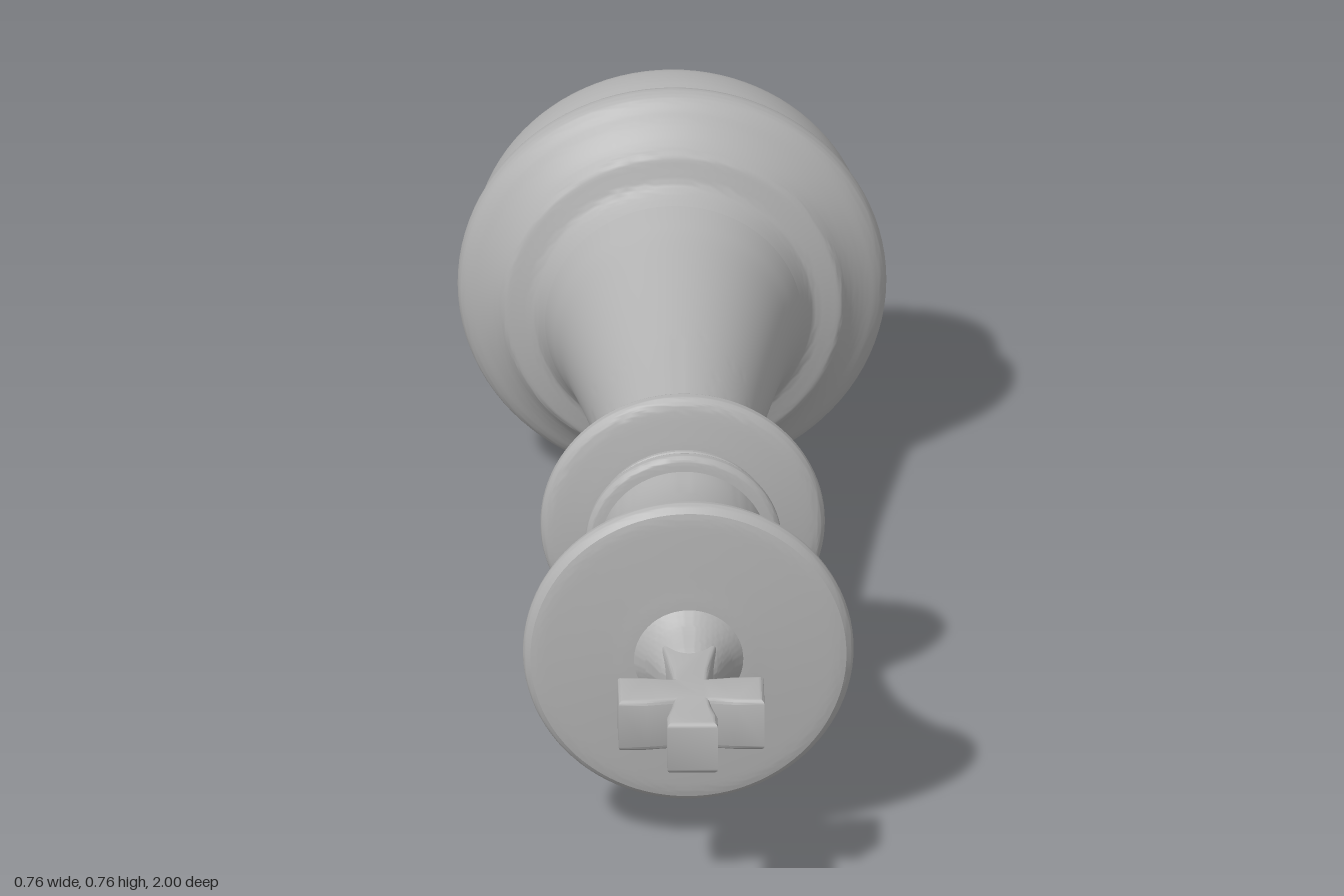
import * as THREE from 'three';
import { toCreasedNormals } from 'three/addons/utils/BufferGeometryUtils.js';

const AXIS_Y = 0.382; // height of the turning axis of the piece lying on its side

export function createModel() {
  const model = new THREE.Group();
  model.name = 'chessKing';
  const grey = new THREE.MeshStandardMaterial({ color: 0xb2b2b2 });
  grey.name = 'plain grey';

  function add(name, geometry) {
    const mesh = new THREE.Mesh(geometry, grey);
    mesh.name = name;
    mesh.position.y = AXIS_Y;
    model.add(mesh);
  }

  // Turned part: [radius, z] points from back to front, optionally smoothed by a spline
  function turned(name, points, divisions = 0) {
    let profile = points.map(([r, z]) => new THREE.Vector2(r, z));
    if (divisions) profile = new THREE.SplineCurve(profile).getPoints(divisions);
    const geometry = new THREE.LatheGeometry(profile, 96);
    geometry.rotateX(Math.PI / 2);
    add(name, toCreasedNormals(geometry, 0.6));
  }

  // Base: flat bottom, rounded foot, bulging ring and stepped shoulder
  turned('baseBottom', [[0, -1], [0.325, -1]]);
  turned('baseFoot', [[0.325, -1], [0.34, -0.996], [0.349, -0.985], [0.354, -0.96], [0.356, -0.93],
    [0.354, -0.90], [0.349, -0.886], [0.335, -0.879], [0.325, -0.878]], 40);
  turned('baseRing', [[0.325, -0.881], [0.35, -0.879], [0.368, -0.87], [0.379, -0.855], [0.381, -0.838],
    [0.376, -0.82], [0.362, -0.805], [0.342, -0.79], [0.322, -0.772], [0.308, -0.755],
    [0.299, -0.742], [0.275, -0.733], [0.25, -0.723], [0.238, -0.705], [0.229, -0.685]], 64);

  // Long tapering shaft
  turned('shaft', [[0.229, -0.685], [0.219, -0.65], [0.205, -0.6], [0.185, -0.5], [0.167, -0.4],
    [0.151, -0.3], [0.138, -0.2], [0.126, -0.1], [0.117, 0], [0.112, 0.08]], 40);

  // Wide thin collar and the narrow double ring in front of it
  turned('collar', [[0.1, 0.07], [0.18, 0.074], [0.23, 0.083], [0.247, 0.091], [0.253, 0.105],
    [0.247, 0.119], [0.23, 0.127], [0.18, 0.137], [0.155, 0.141]], 48);
  turned('collarStep', [[0.155, 0.139], [0.162, 0.142], [0.163, 0.15], [0.157, 0.155], [0.146, 0.16], [0.146, 0.17]]);
  turned('neckRing', [[0.146, 0.169], [0.166, 0.171], [0.173, 0.177], [0.175, 0.186], [0.173, 0.195],
    [0.166, 0.2], [0.149, 0.203]], 32);

  // Flared head with a rounded rim and nearly flat crown
  turned('head', [[0.149, 0.2], [0.149, 0.25], [0.154, 0.3], [0.166, 0.36], [0.186, 0.42], [0.213, 0.48],
    [0.247, 0.54], [0.272, 0.575], [0.288, 0.594], [0.294, 0.606], [0.291, 0.62], [0.281, 0.63]], 56);
  turned('crown', [[0.281, 0.63], [0.26, 0.634], [0.2, 0.639], [0.14, 0.643], [0.095, 0.646], [0, 0.648]], 32);

  // Small concave cone carrying the cross
  turned('finial', [[0.098, 0.645], [0.089, 0.655], [0.076, 0.672], [0.064, 0.694], [0.054, 0.715], [0.043, 0.73],
    [0.025, 0.738], [0, 0.74]], 32);

  // Cross: half outline in x and z, mirrored and extruded with softened edges
  const bevel = 0.009;
  const half = [[0.042, 0.68], [0.033, 0.73], [0.026, 0.78], [0.022, 0.827], [0.04, 0.826], [0.08, 0.82],
    [0.121, 0.819], [0.121, 0.901], [0.08, 0.9], [0.04, 0.894], [0.023, 0.893], [0.028, 0.93], [0.036, 0.965], [0.036, 0.991]];
  const outline = [...half, ...half.map(([x, z]) => [-x, z]).reverse()];
  const shape = new THREE.Shape(outline.map(([x, z]) => new THREE.Vector2(x, z)));
  const cross = new THREE.ExtrudeGeometry(shape, {
    depth: 0.1 - 2 * bevel, bevelThickness: bevel, bevelSize: bevel, bevelSegments: 3,
  });
  cross.translate(0, 0, -0.05 + bevel);
  cross.rotateX(Math.PI / 2);
  add('cross', toCreasedNormals(cross, 0.6));

  return model;
}
